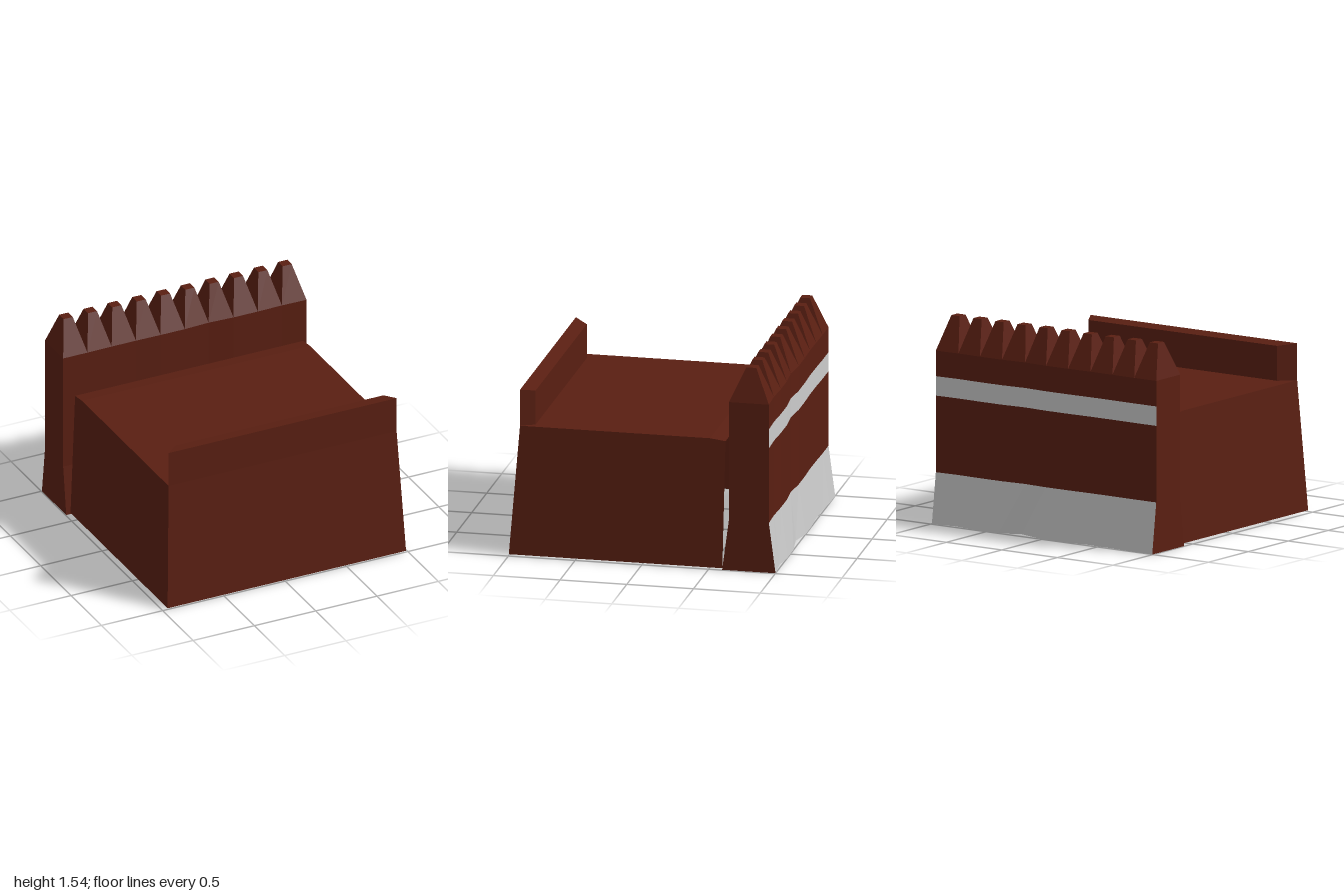
import * as THREE from 'three';

const brown = new THREE.MeshStandardMaterial({ color: 0x5a1f12, flatShading: true, side: THREE.DoubleSide });
const grey = new THREE.MeshStandardMaterial({ color: 0xcccccc, flatShading: true, side: THREE.DoubleSide });

// Flat-shaded surface through rows of points: rows run bottom to top,
// points run left to right as seen from outside.
function panel(name, rows, material = brown) {
  const pos = [];
  for (let r = 0; r + 1 < rows.length; r++) {
    for (let c = 0; c + 1 < rows[r].length; c++) {
      const a = rows[r][c], b = rows[r][c + 1], d = rows[r + 1][c + 1], e = rows[r + 1][c];
      pos.push(...a, ...b, ...d, ...a, ...d, ...e);
    }
  }
  const geometry = new THREE.BufferGeometry();
  geometry.setAttribute('position', new THREE.Float32BufferAttribute(pos, 3));
  geometry.computeVertexNormals();
  const mesh = new THREE.Mesh(geometry, material);
  mesh.name = name;
  return mesh;
}

function buildPlatform() {
  const g = new THREE.Group();
  g.name = 'platform';
  const L = -0.915, R = 0.945;

  // Sloping side and front walls, open below and towards the palisade
  g.add(panel('platformWalls', [
    [[-0.96, 0.01, -0.6], [-0.96, 0.01, -0.5], [-0.96, 0.01, 1], [0.985, 0.01, 1], [0.985, 0.01, -0.5], [0.985, 0.01, -0.6]],
    [[L, 0.97, -0.615], [L, 0.985, -0.5], [L, 0.985, 0.925], [R, 0.985, 0.925], [R, 0.985, -0.5], [R, 0.97, -0.615]],
  ]));

  // Walkway, dipping slightly at the back
  g.add(panel('walkway', [[0.985, 0.925], [0.985, -0.5], [0.97, -0.615]]
    .map(([y, z]) => [[L, y, z], [R, y, z]])));

  // Parapet with slanted ends
  const plan = [[L, 0.925], [R, 0.925], [0.89, 0.82], [-0.81, 0.82]];
  const low = plan.map(([x, z]) => [x, 0.983, z]);
  const high = plan.map(([x, z]) => [x, z > 0.9 ? 1.26 : 1.245, z]);
  g.add(panel('parapet', [[...low, low[0]], [...high, high[0]]]));
  g.add(panel('parapetTop', [[high[0], high[1]], [high[3], high[2]]]));
  return g;
}

function buildPalisade() {
  const g = new THREE.Group();
  g.name = 'palisade';
  const count = 10;
  const stations = Array.from({ length: count + 1 }, (_, i) => i);
  const xAt = i => -0.995 + 0.1985 * i;
  // Uneven depth of the stake line, station by station
  const wave = [0, 0, 0.008, 0.01, 0, 0, 0.028, 0, 0, 0.014, 0];
  const shoulder = 1.285, foot = 0.38;
  const backZ = (i, y) => -0.95 - 0.05 * Math.max(0, 1 - y / foot) + wave[i] * (y < foot ? 1 : 0.5);
  const frontZ = (i, y) => -0.65 + 0.05 * Math.max(0, 1 - y / foot) - wave[i] * 0.35;
  const back = (i, y) => [xAt(i), y + (y === 0 ? wave[i] * 0.4 : 0), backZ(i, y)];
  const front = (i, y) => [xAt(i), y, frontZ(i, y)];

  // Back face in alternating bands
  const reversed = [...stations].reverse();
  const levels = [0, foot, 0.95, 1.095, shoulder];
  for (let k = 0; k < 4; k++) {
    g.add(panel(k % 2 ? 'backBoards' : 'backBand',
      [levels[k], levels[k + 1]].map(y => reversed.map(i => back(i, y))), k % 2 ? brown : grey));
  }

  // Front face, raised between the two end feet
  g.add(panel('frontBoards', [foot, shoulder].map(y => stations.map(i => front(i, y)))));
  for (const i of [0, count - 1]) {
    g.add(panel('frontFoot', [0, foot].map(y => [front(i, y), front(i + 1, y)])));
  }

  // End faces
  const ends = [0, foot, shoulder];
  g.add(panel('leftEnd', ends.map(y => [front(count, y), back(count, y)])));
  g.add(panel('rightEnd', ends.map(y => [back(0, y), front(0, y)])));

  // Blunt pyramid stake points
  for (let i = 0; i < count; i++) {
    const base = [front(i, shoulder), front(i + 1, shoulder), back(i + 1, shoulder), back(i, shoulder)];
    const x = (xAt(i) + xAt(i + 1)) / 2, w = 0.037;
    const tip = [[-w, w], [w, w], [w, -w], [-w, -w]].map(([dx, dz]) => [x + dx, 1.54, -0.805 + dz]);
    g.add(panel('stakePoint', [[...base, base[0]], [...tip, tip[0]]]));
    g.add(panel('stakeTip', [[tip[0], tip[1]], [tip[3], tip[2]]]));
  }
  return g;
}

export function createModel() {
  const model = new THREE.Group();
  model.name = 'palisadeRampart';
  model.add(buildPlatform(), buildPalisade());
  return model;
}
